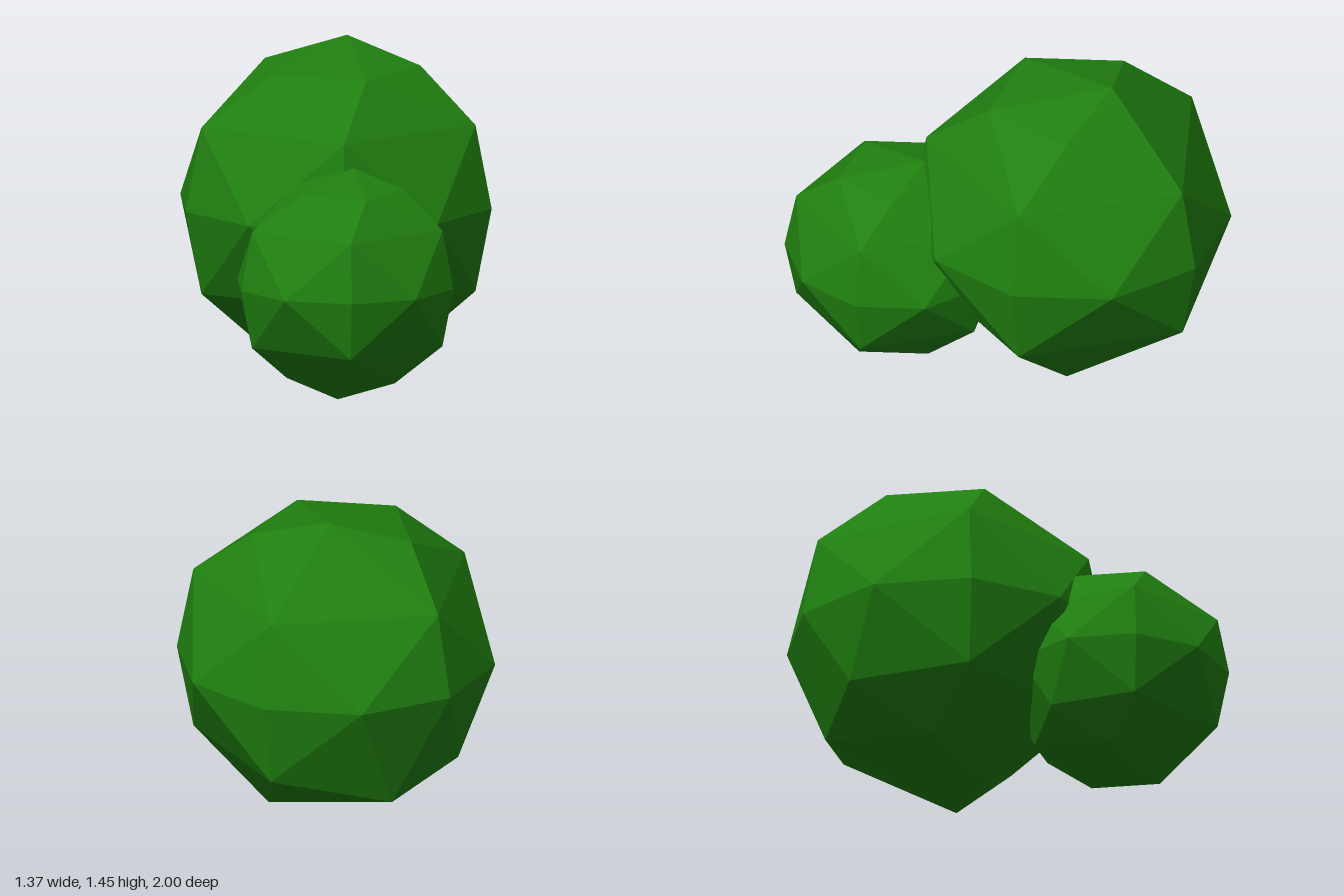
import * as THREE from 'three';
import { ConvexGeometry } from 'three/addons/geometries/ConvexGeometry.js';

const leafMaterial = new THREE.MeshStandardMaterial({ color: 0x208010, flatShading: true });

// Corner at a height, distance from the axis and angle in degrees (from +x towards +z)
function corner(y, radius, degrees) {
  const a = THREE.MathUtils.degToRad(degrees);
  return new THREE.Vector3(radius * Math.cos(a), y, radius * Math.sin(a));
}

// A low-poly clump of foliage: a faceted ball with uneven caps, built from rings of corners
function foliage(name, scale, y, z, lowCorners) {
  const ring = (height, radius, angles) => angles.map((a) => corner(height, radius, a));
  const points = [
    // upper cap
    new THREE.Vector3(0.06, 0.72, -0.19),
    ...ring(0.613, 0.378, [0, 72, 144, 216]),
    ...ring(0.378, 0.645, [18, 90, 162, 234, 306]),
    // middle
    ...ring(0, 0.72, Array.from({ length: 10 }, (_, i) => 18 + 36 * i)),
    // lower cap
    ...ring(-0.378, 0.645, [18, 90, 162, 306]),
    corner(-0.378, 0.612, 216),
    new THREE.Vector3(-0.17, -0.51, -0.52),
    corner(-0.613, 0.378, 180),
    new THREE.Vector3(-0.06, -0.72, 0.19),
    ...lowCorners,
  ];
  const mesh = new THREE.Mesh(new ConvexGeometry(points), leafMaterial);
  mesh.name = name;
  mesh.scale.setScalar(scale);
  mesh.position.set(0, y, z);
  return mesh;
}

export function createModel() {
  const bush = new THREE.Group();
  bush.name = 'bush';
  bush.add(
    // large clump at the back, with one blunt low corner
    foliage('largeFoliage', 1, 0.73, -0.28, [new THREE.Vector3(0.304, -0.69, 0)]),
    // small clump in front, with two low corners
    foliage('smallFoliage', 0.695, 0.502, 0.5, [corner(-0.613, 0.378, 36), corner(-0.613, 0.378, 324)]),
  );
  return bush;
}
